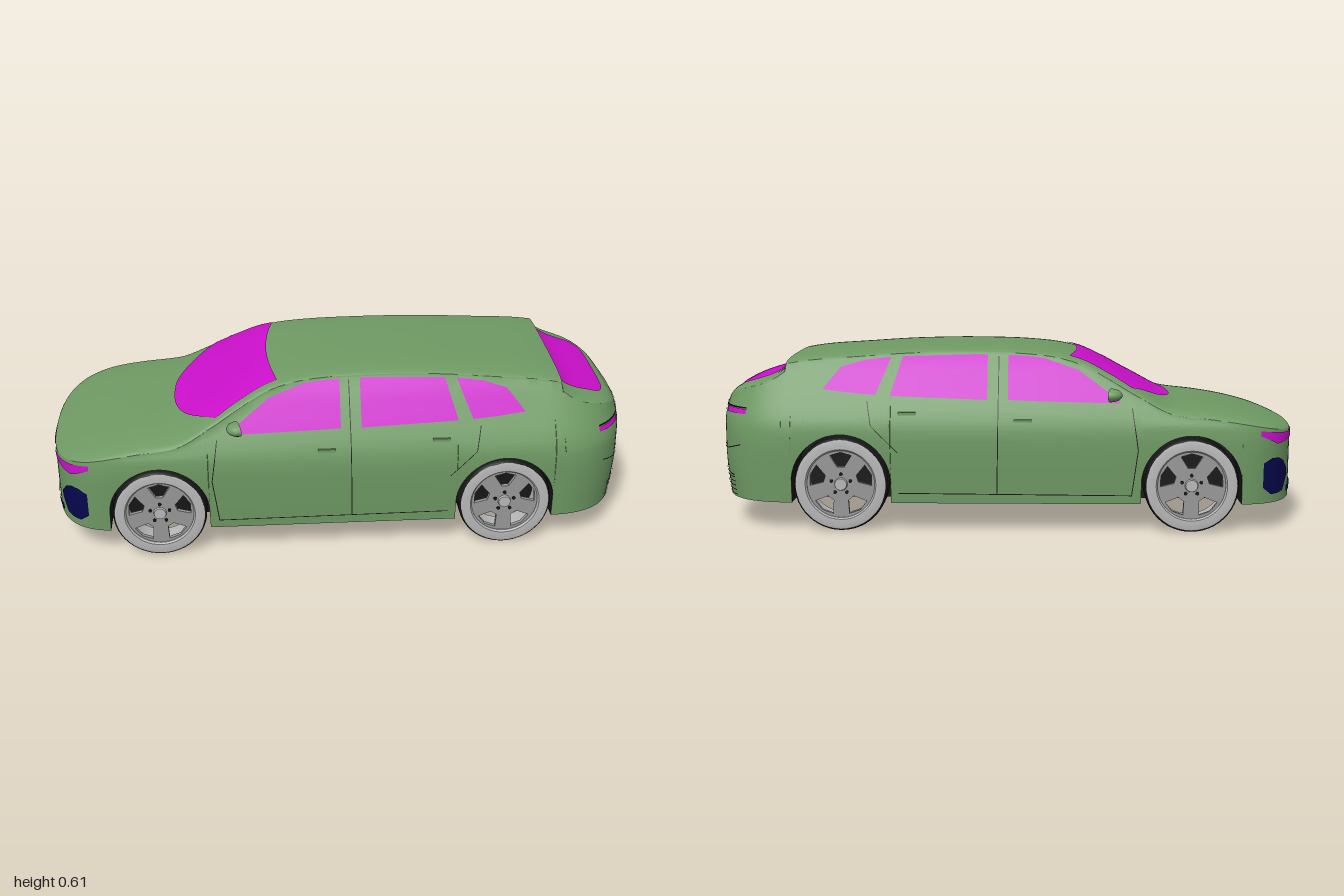
import * as THREE from 'three';
import { toCreasedNormals } from 'three/addons/utils/BufferGeometryUtils.js';

const mat = (name, color) => new THREE.MeshStandardMaterial({ name, color, side: THREE.DoubleSide });

// Smooth monotone interpolation through [x, y] points, clamped at the ends
function curve(pts) {
  const n = pts.length;
  const d = pts.slice(1).map((p, i) => (p[1] - pts[i][1]) / (p[0] - pts[i][0]));
  const m = pts.map((_, i) => {
    if (i === 0) return d[0];
    if (i === n - 1) return d[n - 2];
    return d[i - 1] * d[i] <= 0 ? 0 : (2 * d[i - 1] * d[i]) / (d[i - 1] + d[i]);
  });
  return (x) => {
    if (x <= pts[0][0]) return pts[0][1];
    if (x >= pts[n - 1][0]) return pts[n - 1][1];
    let i = 0;
    while (x > pts[i + 1][0]) i++;
    const h = pts[i + 1][0] - pts[i][0], t = (x - pts[i][0]) / h, s = 1 - t;
    return pts[i][1] * (1 + 2 * t) * s * s + m[i] * h * t * s * s
      + pts[i + 1][1] * t * t * (3 - 2 * t) - m[i + 1] * h * t * t * s;
  };
}

// Car shape: centre-line height, roof crown, half width by height, tail lean
const topY = curve([[-1, .335], [-.9, .37], [-.8, .395], [-.7, .413], [-.57, .43], [-.45, .487], [-.35, .542],
  [-.25, .585], [-.15, .603], [0, .613], [.15, .615], [.3, .612], [.5, .6], [.755, .575], [.758, .55], [.97, .462], [1, .425]]);
const crown = curve([[-1, .01], [-.85, .03], [-.6, .04], [-.4, .04], [-.25, .03], [-.1, .022], [.5, .022], [1, .02]]);
const width = curve([[.1, .386], [.2, .393], [.3, .397], [.35, .394], [.4, .376], [.45, .35], [.5, .322], [.55, .293], [.59, .264], [.62, .24]]);
const lean = curve([[.09, .015], [.25, 0], [.36, 0], [.4, .008], [.46, .02], [.62, .02]]);
const FRONT = { x: -.74, r: .26, s: -1 }, REAR = { x: .68, r: .32, s: 1 };
const E = .7, FLOOR = .095, ARCH = .17, HUB_Y = .16, AXLES = [-.63, .555];

const shoulder = (x) => topY(x) - crown(x);
const plan = (x) => {
  const e = x < 0 ? FRONT : REAR, d = Math.min(1, Math.max(0, (x - e.x) * e.s / e.r));
  return Math.pow(Math.max(0, 1 - Math.pow(d, 2 / E)), E / 2);
};
const bend = (x, y) => x - Math.max(0, (x - REAR.x) / REAR.r) * lean(y);
const bottomY = (x) => {
  for (const a of AXLES) if (Math.abs(x - a) <= ARCH) return HUB_Y + Math.sqrt(Math.max(0, ARCH ** 2 - (x - a) ** 2));
  return FLOOR;
};
const sidePoint = (x, y, off = 0) => {
  const yy = Math.min(y, shoulder(x) - .002);
  return [bend(x, yy), yy, width(yy) * plan(x) + off];
};
const topPoint = (x, z, off = 0) => {
  const ys = shoulder(x), c = Math.min(1, Math.abs(z) / (width(ys) * plan(x)));
  const y = ys + crown(x) * Math.pow(1 - Math.pow(c, 2 / E), E / 2);
  return [bend(x, y), y + off, z];
};
// Point wrapped round the nose or tail; angle 0 is the flank, 90 the centre line
const endPoint = (e, deg, y, off) => {
  const a = deg * Math.PI / 180;
  const x = e.x + e.s * (e.r + off) * Math.pow(Math.sin(a), E);
  return [bend(x, y), y, (width(y) + off) * Math.pow(Math.max(0, Math.cos(a)), E)];
};

// Surface from rows of points
function loft(rows) {
  const n = rows[0].length, index = [];
  for (let i = 0; i < rows.length - 1; i++) for (let j = 0; j < n - 1; j++) {
    const a = i * n + j, b = a + n;
    index.push(a, b, a + 1, b, b + 1, a + 1);
  }
  const g = new THREE.BufferGeometry();
  g.setAttribute('position', new THREE.Float32BufferAttribute(rows.flat(2), 3));
  g.setIndex(index);
  g.computeVertexNormals();
  return g;
}
const patch = (nu, nv, fn) => loft(Array.from({ length: nu + 1 }, (_, i) =>
  Array.from({ length: nv + 1 }, (_, j) => fn(i / nu, j / nv))));
const along = (pts, t) => {
  const f = t * (pts.length - 1), i = Math.min(pts.length - 2, Math.floor(f)), k = f - i;
  return [0, 1].map((c) => pts[i][c] + (pts[i + 1][c] - pts[i][c]) * k);
};

export function createModel() {
  const car = new THREE.Group();
  car.name = 'car';
  const paint = mat('bodyPaint', 0x6f9a64), glass = mat('glass', 0xcc10cc), intake = mat('intakeNavy', 0x06064e);
  const black = mat('black', 0x161616), rimGrey = mat('rimGrey', 0xb8b8b8), spokeGrey = mat('spokeGrey', 0x989898);
  const add = (name, geo, m, parent = car) => {
    const mesh = new THREE.Mesh(geo, m);
    mesh.name = name;
    parent.add(mesh);
    return mesh;
  };
  const addPair = (name, geo, m) => {
    add(name + 'Left', geo, m);
    add(name + 'Right', geo, m).scale.z = -1;
  };

  // Stations along the car, denser at the ends and wheel arches
  const xs = [.7545, .755, .758, .7585];
  for (let k = 0; k <= 24; k++) {
    const s = Math.pow(Math.sin(k / 24 * Math.PI / 2), E);
    for (const e of [FRONT, REAR]) xs.push(e.x + e.s * e.r * s);
  }
  for (let x = -.72; x < .68; x += .02) xs.push(x);
  for (const a of AXLES) {
    xs.push(a - ARCH - 1e-4, a + ARCH + 1e-4);
    for (let k = 0; k <= 24; k++) xs.push(a + ARCH * Math.cos(k / 24 * Math.PI));
  }
  xs.sort((a, b) => a - b);

  // Painted shell with open wheel arches
  const shell = xs.map((x) => {
    const half = [], yb = bottomY(x), ys = shoulder(x), w = width(ys) * plan(x);
    for (let j = 0; j <= 14; j++) {
      const y = yb + (ys - yb) * j / 14;
      half.push([bend(x, y), y, width(y) * plan(x)]);
    }
    for (let j = 1; j <= 14; j++) {
      const a = j / 14 * Math.PI / 2, y = ys + crown(x) * Math.pow(Math.sin(a), E);
      half.push([bend(x, y), y, j === 14 ? 0 : w * Math.pow(Math.cos(a), E)]);
    }
    return [...half, ...half.slice(0, -1).reverse().map(([px, y, z]) => [px, y, -z])];
  });
  add('bodyShell', toCreasedNormals(loft(shell), .5), paint);

  // Underbody and wheel wells
  const under = xs.map((x) => {
    const yb = bottomY(x), w = width(yb) * plan(x), q = Math.min(.28, w), px = bend(x, yb);
    return [[-w, yb], [-q, yb], [-q, FLOOR], [q, FLOOR], [q, yb], [w, yb]].map(([z, y]) => [px, y, z]);
  });
  add('underbody', toCreasedNormals(loft(under), .5), black);

  // Windscreen and rear window
  add('windscreen', patch(24, 32, (u, v) => {
    const z = (2 * v - 1) * (.325 - .07 * u);
    const x0 = -.58 + .15 * Math.pow(Math.abs(z) / .325, 2.5), x1 = -.25 + .03 * (z / .255) ** 2;
    return topPoint(x0 + (x1 - x0) * u, z, .004);
  }), glass);
  add('rearWindow', patch(16, 24, (u, v) => {
    const k = 2 * v - 1, x1 = .945 - .035 * k ** 6;
    return topPoint(.768 + (x1 - .768) * u, k * (.245 - .025 * u), .004);
  }), glass);

  // Side windows and panel gaps, stretched between a lower and an upper line
  const sidePatch = (name, lower, upper, m, off) => addPair(name, patch(24, 8, (u, v) => {
    const a = along(lower, u), b = along(upper, u);
    return sidePoint(a[0] + (b[0] - a[0]) * v, a[1] + (b[1] - a[1]) * v, off);
  }), m);
  sidePatch('frontSideWindow', [[-.39, .435], [-.25, .438], [-.12, .441], [-.01, .445]],
    [[-.36, .462], [-.25, .541], [-.13, .58], [-.01, .592]], glass, .003);
  sidePatch('rearSideWindow', [[.06, .445], [.39, .457]], [[.06, .592], [.35, .584]], glass, .003);
  sidePatch('quarterWindow', [[.44, .46], [.53, .467], [.62, .478]], [[.39, .582], [.48, .572], [.56, .55]], glass, .003);
  const seam = (name, pts, dx, dy) => sidePatch(name, pts, pts.map(([x, y]) => [x + dx, y + dy]), black, .002);
  seam('middleDoorGap', [[.025, .125], [.022, .3], [.02, .585]], .003, 0);
  seam('frontDoorGap', [[-.43, .125], [-.45, .28], [-.43, .42]], .003, 0);
  seam('rearDoorGap', [[.36, .27], [.45, .36], [.465, .44]], .003, 0);
  seam('sillGap', [[-.43, .123], [.36, .128]], 0, .003);

  // Strips wrapped round the nose and tail
  const band = (name, e, a0, a1, low, high, m, off = .003) => addPair(name, patch(28, 3, (u, v) => {
    const lo = along(low, u)[1], hi = along(high, u)[1];
    return endPoint(e, a0 + (a1 - a0) * u, lo + (hi - lo) * v, off);
  }), m);
  const ys = (...v) => v.map((y, i) => [i, y]);
  band('headlight', FRONT, 19, 90, ys(.328, .297, .303, .309, .309), ys(.345, .336, .329, .325, .325), glass);
  band('sideIntake', FRONT, 22, 54, ys(.15, .125, .125, .13, .18), ys(.235, .25, .25, .235, .2), intake);
  band('lowerIntake', FRONT, 54, 90, ys(.118, .122), ys(.142, .146), intake);
  band('tailLight', REAR, 32, 60, ys(.392, .39), ys(.407, .409), glass);
  band('tailStrip', REAR, 32, 90, ys(.409, .409), ys(.414, .414), black);
  band('tailgateLip', REAR, 60, 90, ys(.386, .394, .394), ys(.389, .397, .397), black);
  band('tailgateGap', REAR, 36, 90, ys(.285, .265, .26, .26), ys(.288, .268, .263, .263), black);
  for (const y of [.104, .12, .135, .15, .165]) band('bumperSlat', REAR, 47, 90, ys(y, y), ys(y + .003, y + .003), black);
  band('bumperEdge', REAR, 47, 90, ys(.172, .18, .181), ys(.176, .184, .185), black);
  add('numberPlate', new THREE.BoxGeometry(.012, .06, .146), paint).position.set(.993, .146, 0);

  for (const s of [1, -1]) {
    const side = s > 0 ? 'Left' : 'Right';
    // Door mirrors
    const mirror = new THREE.Group();
    mirror.name = 'doorMirror' + side;
    const dome = new THREE.SphereGeometry(1, 20, 8, 0, Math.PI * 2, 0, Math.PI / 2).rotateZ(Math.PI / 2);
    add('mirrorShell', dome.scale(.04, .023, .038), paint, mirror);
    add('mirrorGlass', new THREE.CircleGeometry(1, 20).rotateY(Math.PI / 2).scale(1, .022, .036), glass, mirror);
    add('mirrorStalk', new THREE.BoxGeometry(.02, .016, .04), paint, mirror).position.set(-.012, -.012, -s * .03);
    mirror.position.set(-.355, .464, s * .373);
    mirror.rotation.y = s * .3;
    car.add(mirror);

    // Door handles
    for (const [x, y] of [[-.06, .378], [.33, .4]]) {
      const p = sidePoint(x, y, .001);
      add('doorHandle' + side, new THREE.BoxGeometry(.06, .01, .008), paint).position.set(p[0], p[1], s * p[2]);
    }

    // Wheels
    for (const a of AXLES) {
      const wheel = new THREE.Group();
      wheel.name = (a < 0 ? 'frontWheel' : 'rearWheel') + side;
      const turn = (pts) => new THREE.LatheGeometry(pts.map(([r, z]) => new THREE.Vector2(r, z)), 48).rotateX(Math.PI / 2);
      add('tyre', toCreasedNormals(turn([[.118, -.048], [.15, -.052], [.158, -.046], [.16, -.036], [.16, .036], [.158, .046], [.153, .051]]), .6), black, wheel);
      add('rimRing', toCreasedNormals(turn([[.153, .051], [.145, .053], [.12, .052], [.115, .045], [.115, -.048]]), .6), rimGrey, wheel);
      const face = new THREE.Shape().absarc(0, 0, .117, 0, Math.PI * 2);
      for (let k = 0; k < 5; k++) {
        const c = Math.PI / 2 + k * Math.PI * .4;
        const hole = new THREE.Path();
        hole.setFromPoints([[.06, -.2], [.105, -.36], [.109, 0], [.105, .36], [.06, .2]]
          .map(([r, t]) => new THREE.Vector2(r * Math.cos(c + t), r * Math.sin(c + t))));
        face.holes.push(hole);
        const bolt = add('wheelBolt', new THREE.CylinderGeometry(.006, .006, .006, 10).rotateX(Math.PI / 2), black, wheel);
        bolt.position.set(.034 * Math.cos(c), .034 * Math.sin(c), .043);
      }
      add('spokes', new THREE.ExtrudeGeometry(face, { depth: .015, bevelEnabled: false, curveSegments: 24 }).translate(0, 0, .027), spokeGrey, wheel);
      add('hubCap', new THREE.CylinderGeometry(.02, .023, .01, 24).rotateX(Math.PI / 2), rimGrey, wheel).position.z = .045;
      wheel.position.set(a, HUB_Y, s * .346);
      if (s < 0) wheel.rotation.y = Math.PI;
      car.add(wheel);
    }
  }
  return car;
}
